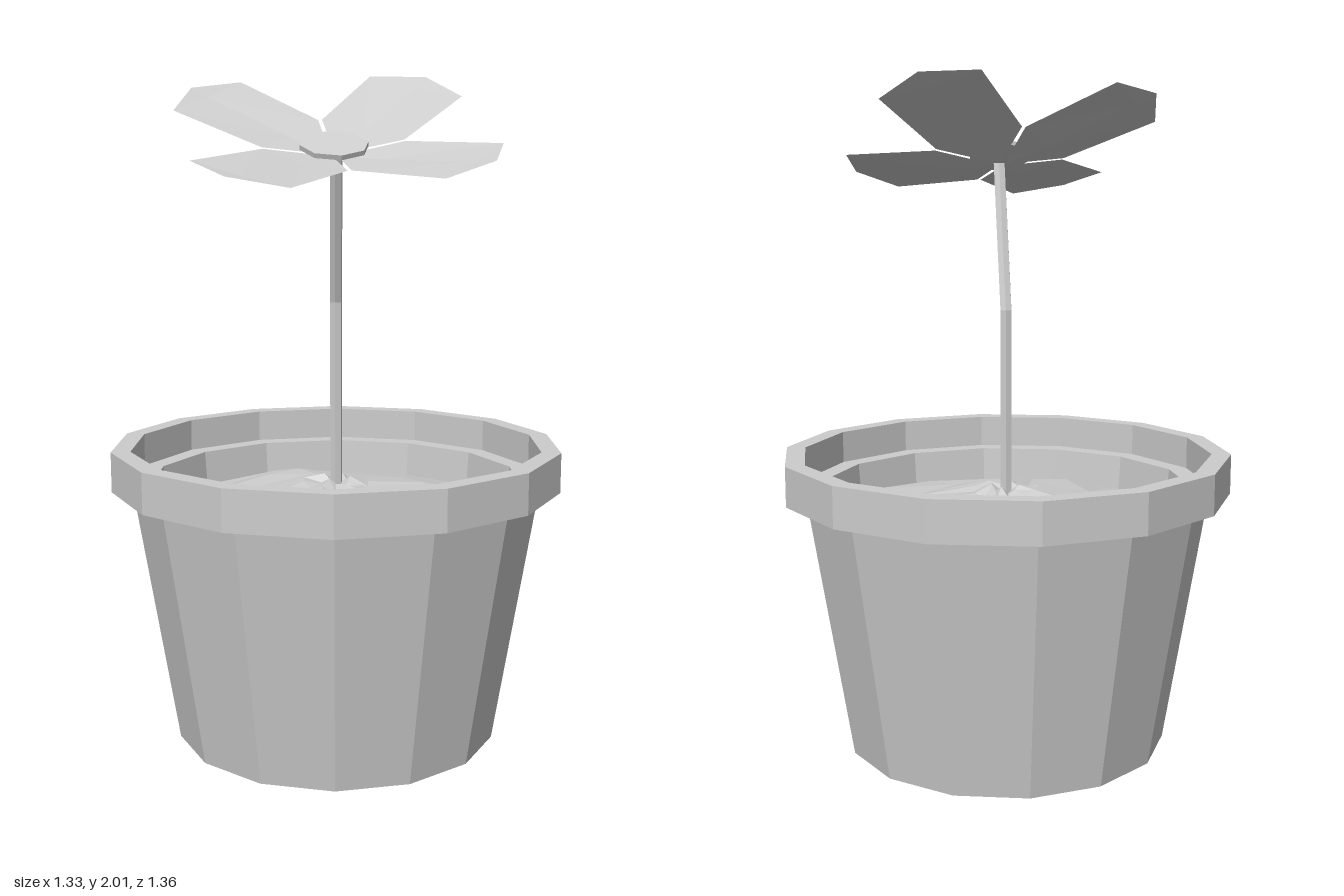
import * as THREE from 'three';

const SIDES = 14;

// repeatable pseudo-random value in -1..1
function noise(a, b) {
  const s = Math.sin(a * 12.99 + b * 78.23) * 43758.5453;
  return (s - Math.floor(s)) * 2 - 1;
}

function lathe(points, sides) {
  return new THREE.LatheGeometry(points.map(([r, y]) => new THREE.Vector2(r, y)), sides);
}

// loose earth: a low mound with uneven rings
function soilGeometry() {
  const profile = [[0.555, 0.69], [0.47, 0.715], [0.28, 0.755], [0.1, 0.775], [0.045, 0.785], [0, 0.765]];
  const bump = [0, 0.015, 0.018, 0.015, 0.015, 0];
  const geo = lathe(profile, SIDES);
  const pos = geo.attributes.position;
  const rings = profile.length;
  for (let i = 0; i < pos.count; i++) {
    const ring = i % rings;
    const spoke = Math.floor(i / rings) % SIDES;
    pos.setY(i, pos.getY(i) + bump[ring] * noise(spoke + 1, ring + 1));
  }
  return geo;
}

// stem: a hexagonal rod whose three rings follow a bent path
function stemGeometry() {
  const path = [[0, 0.7, 0], [0, 1.33, 0], [-0.108, 1.765, 0.088]];
  const geo = new THREE.CylinderGeometry(0.019, 0.019, 2, 6, 2);
  const pos = geo.attributes.position;
  for (let i = 0; i < pos.count; i++) {
    const [x, y, z] = path[Math.round(pos.getY(i)) + 1];
    pos.setXYZ(i, pos.getX(i) + x, y, pos.getZ(i) + z);
  }
  return geo;
}

// petal along +x: cross-sections of [along, half width, edge height, middle height]
function petalGeometry() {
  const sections = [
    [0.025, 0.015, -0.018, -0.02],
    [0.15, 0.142, 0.012, 0.0],
    [0.448, 0.162, 0.064, 0.06],
  ];
  const verts = [];
  const index = [];
  for (const [x, w, edge, mid] of sections) verts.push(x, edge, -w, x, mid, 0, x, edge, w);
  for (let s = 0; s < sections.length - 1; s++) {
    for (let k = 0; k < 2; k++) {
      const a = s * 3 + k;
      index.push(a, a + 1, a + 3, a + 1, a + 4, a + 3);
    }
  }
  // pointed end
  verts.push(0.51, 0.077, 0);
  index.push(6, 7, 9, 7, 8, 9);
  const geo = new THREE.BufferGeometry();
  geo.setAttribute('position', new THREE.Float32BufferAttribute(verts, 3));
  geo.setIndex(index);
  geo.computeVertexNormals();
  return geo;
}

export function createModel() {
  const model = new THREE.Group();
  model.name = 'pottedFlower';
  const grey = new THREE.MeshStandardMaterial({
    name: 'light grey', color: 0xcccccc, flatShading: true, side: THREE.DoubleSide,
  });

  function add(parent, name, geometry) {
    const mesh = new THREE.Mesh(geometry, grey);
    mesh.name = name;
    parent.add(mesh);
    return mesh;
  }

  // pot with thick rim and stepped inside
  add(model, 'pot', lathe([
    [0, 0], [0.49, 0], [0.617, 0.78], [0.68, 0.78], [0.68, 0.9],
    [0.622, 0.9], [0.622, 0.8], [0.56, 0.8], [0.55, 0.68],
  ], SIDES));

  add(model, 'soil', soilGeometry());
  add(model, 'stem', stemGeometry());

  // flower head, tilted with the stem
  const flower = new THREE.Group();
  flower.name = 'flower';
  flower.position.set(-0.12, 1.78, 0.09);
  flower.quaternion.setFromUnitVectors(
    new THREE.Vector3(0, 1, 0), new THREE.Vector3(-0.293, 1, 0.264).normalize());
  model.add(flower);

  const disc = add(flower, 'flowerCentre', new THREE.CylinderGeometry(0.1, 0.1, 0.014, 8));
  disc.position.y = 0.008;
  disc.rotation.y = 0.105;

  const petal = petalGeometry();
  for (let i = 0; i < 4; i++) {
    add(flower, 'petal' + (i + 1), petal).rotation.y = 0.105 + i * Math.PI / 2;
  }

  return model;
}
